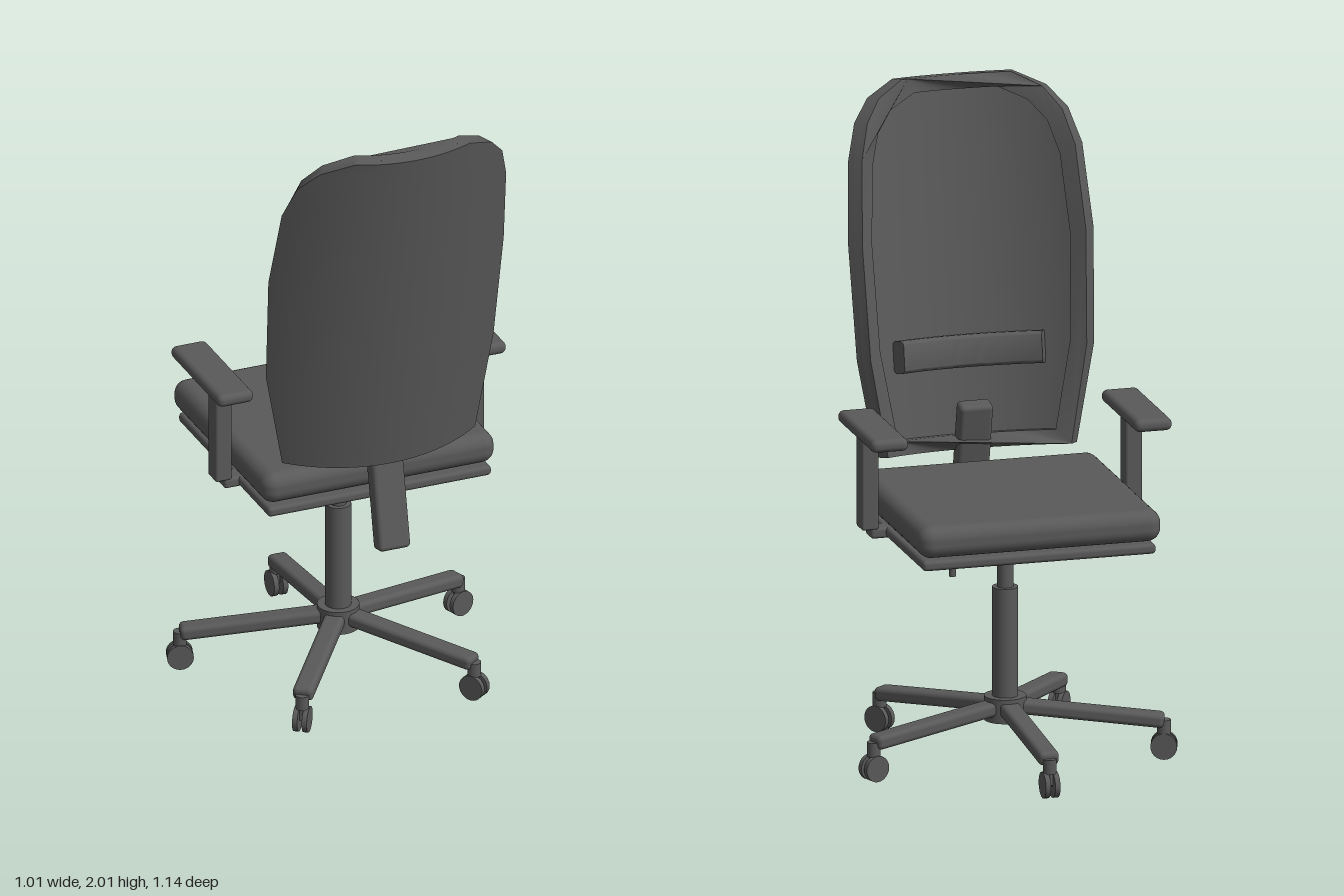
import * as THREE from 'three';
import { toCreasedNormals } from 'three/addons/utils/BufferGeometryUtils.js';
import { RoundedBoxGeometry } from 'three/addons/geometries/RoundedBoxGeometry.js';

const R = 0.56; // bend radius of the backrest
// half width and height up the backrest
const OUTLINE = [[0.32, 0], [0.377, 0.305], [0.39, 0.66], [0.372, 0.92], [0.34, 1.03], [0.285, 1.1], [0.19, 1.148]];

// wrap a flat geometry around a vertical cylinder; z = 0 is the rear skin
function bend(geo) {
  const p = geo.attributes.position;
  for (let i = 0; i < p.count; i++) {
    const a = Math.asin(p.getX(i) / R), r = R + p.getZ(i);
    p.setXYZ(i, r * Math.sin(a), p.getY(i), r * Math.cos(a) - R);
  }
  geo.computeVertexNormals();
  return geo;
}

// closed outline with finely divided top and bottom edges
function loop(side) {
  const pts = side.map(([x, y]) => new THREE.Vector2(x, y));
  const n = 16, top = side[side.length - 1], low = side[0];
  for (let i = 1; i < n; i++) pts.push(new THREE.Vector2(top[0] * (1 - 2 * i / n), top[1]));
  for (const [x, y] of [...side].reverse()) pts.push(new THREE.Vector2(-x, y));
  for (let i = 1; i < n; i++) pts.push(new THREE.Vector2(low[0] * (2 * i / n - 1), low[1]));
  return pts;
}

export function createModel() {
  const model = new THREE.Group();
  model.name = 'officeChair';
  const grey = new THREE.MeshStandardMaterial({ color: 0x595959 });
  grey.name = 'charcoalGrey';

  function add(name, geo, x = 0, y = 0, z = 0, parent = model) {
    const mesh = new THREE.Mesh(geo, grey);
    mesh.name = name;
    mesh.position.set(x, y, z);
    parent.add(mesh);
    return mesh;
  }
  const box = (w, h, d, r) => new RoundedBoxGeometry(w, h, d, 4, r);
  const cyl = (r, h, n = 32) => new THREE.CylinderGeometry(r, r, h, n);

  // seat
  add('seatCushion', box(0.77, 0.1, 0.745, 0.042), 0, 0.805, -0.078);
  add('seatPlate', box(0.74, 0.032, 0.71, 0.012), 0, 0.73, -0.07);
  add('tiltMechanism', box(0.35, 0.064, 0.335, 0.012), 0, 0.686, -0.042);
  add('heightLever', cyl(0.011, 0.1, 16), 0.2, 0.667, -0.155);
  add('leverArm', cyl(0.011, 0.06, 16), 0.18, 0.7, -0.155).rotation.z = Math.PI / 2;

  // armrests
  for (const s of [-1, 1]) {
    const arm = new THREE.Group();
    arm.name = s > 0 ? 'leftArmrest' : 'rightArmrest';
    model.add(arm);
    add('armPad', box(0.118, 0.04, 0.385, 0.018), s * 0.419, 1.065, -0.042, arm);
    add('armPost', box(0.054, 0.32, 0.066, 0.008), s * 0.419, 0.9, 0.018, arm);
    add('armBracket', box(0.15, 0.034, 0.066, 0.01), s * 0.342, 0.729, 0.018, arm);
  }

  // backrest
  const back = new THREE.Group();
  back.name = 'backrest';
  back.position.set(0, 0.87, 0.37);
  back.rotation.x = 0.175;
  model.add(back);

  // rear panel: each row of the box takes its width from the outline
  const rows = OUTLINE.length - 1;
  const panel = new THREE.BoxGeometry(2, 1, 0.02, 28, rows, 1);
  const p = panel.attributes.position;
  for (let i = 0; i < p.count; i++) {
    const [w, h] = OUTLINE[Math.round((p.getY(i) + 0.5) * rows)];
    p.setXYZ(i, p.getX(i) * w, h, p.getZ(i) - 0.01);
  }
  add('backPanel', bend(panel), 0, 0, 0, back);

  // raised rim on the sitting side
  const rimShape = new THREE.Shape(loop(OUTLINE));
  rimShape.holes.push(new THREE.Path(loop(OUTLINE.map(([x, y]) => [x - 0.045, 0.045 + y * 0.922]))));
  const rim = new THREE.ExtrudeGeometry(rimShape, { depth: 0.03, bevelEnabled: false });
  rim.translate(0, 0, -0.05);
  add('backRim', toCreasedNormals(bend(rim), 0.6), 0, 0, 0, back);

  // lumbar pad: rounded section swept across and bent
  const section = new THREE.Shape();
  const a = 0.025, b = 0.05, c = 0.016;
  section.absarc(a - c, b - c, c, 0, Math.PI / 2);
  section.absarc(c - a, b - c, c, Math.PI / 2, Math.PI);
  section.absarc(c - a, c - b, c, Math.PI, Math.PI * 1.5);
  section.absarc(a - c, c - b, c, Math.PI * 1.5, Math.PI * 2);
  const pad = new THREE.ExtrudeGeometry(section, { depth: 0.5, steps: 24, bevelEnabled: false, curveSegments: 5 });
  pad.translate(0, 0, -0.25).rotateY(Math.PI / 2).translate(0, 0, -0.044);
  add('lumbarPad', toCreasedNormals(bend(pad), 0.7), 0, 0.3, 0, back);

  // bar that carries the backrest
  add('backSupportBar', box(0.105, 0.46, 0.058, 0.014), 0, 0.808, 0.331).rotation.x = -0.21;

  // column and five-star base
  const base = new THREE.Group();
  base.name = 'base';
  base.position.z = -0.045;
  model.add(base);
  add('gasLift', cyl(0.025, 0.14), 0, 0.595, 0, base);
  add('column', cyl(0.04, 0.36), 0, 0.36, 0, base);
  add('hub', cyl(0.065, 0.076), 0, 0.158, 0, base);

  for (let i = 0; i < 5; i++) {
    const spoke = new THREE.Group();
    spoke.name = 'spoke' + (i + 1);
    spoke.rotation.y = Math.PI + i * Math.PI * 2 / 5;
    base.add(spoke);
    add('leg', box(0.064, 0.044, 0.47, 0.015), 0, 0.143, 0.252, spoke).rotation.x = 0.095;
    add('casterStem', cyl(0.021, 0.045, 20), 0, 0.1, 0.485, spoke);
    add('casterAxle', cyl(0.01, 0.036, 12), 0, 0.045, 0.485, spoke).rotation.z = Math.PI / 2;
    add('casterFork', box(0.014, 0.06, 0.03, 0.004), 0, 0.07, 0.485, spoke);
    for (const s of [-1, 1]) {
      add('casterWheel', cyl(0.041, 0.016, 24), s * 0.015, 0.041, 0.485, spoke).rotation.z = Math.PI / 2;
    }
  }
  return model;
}
